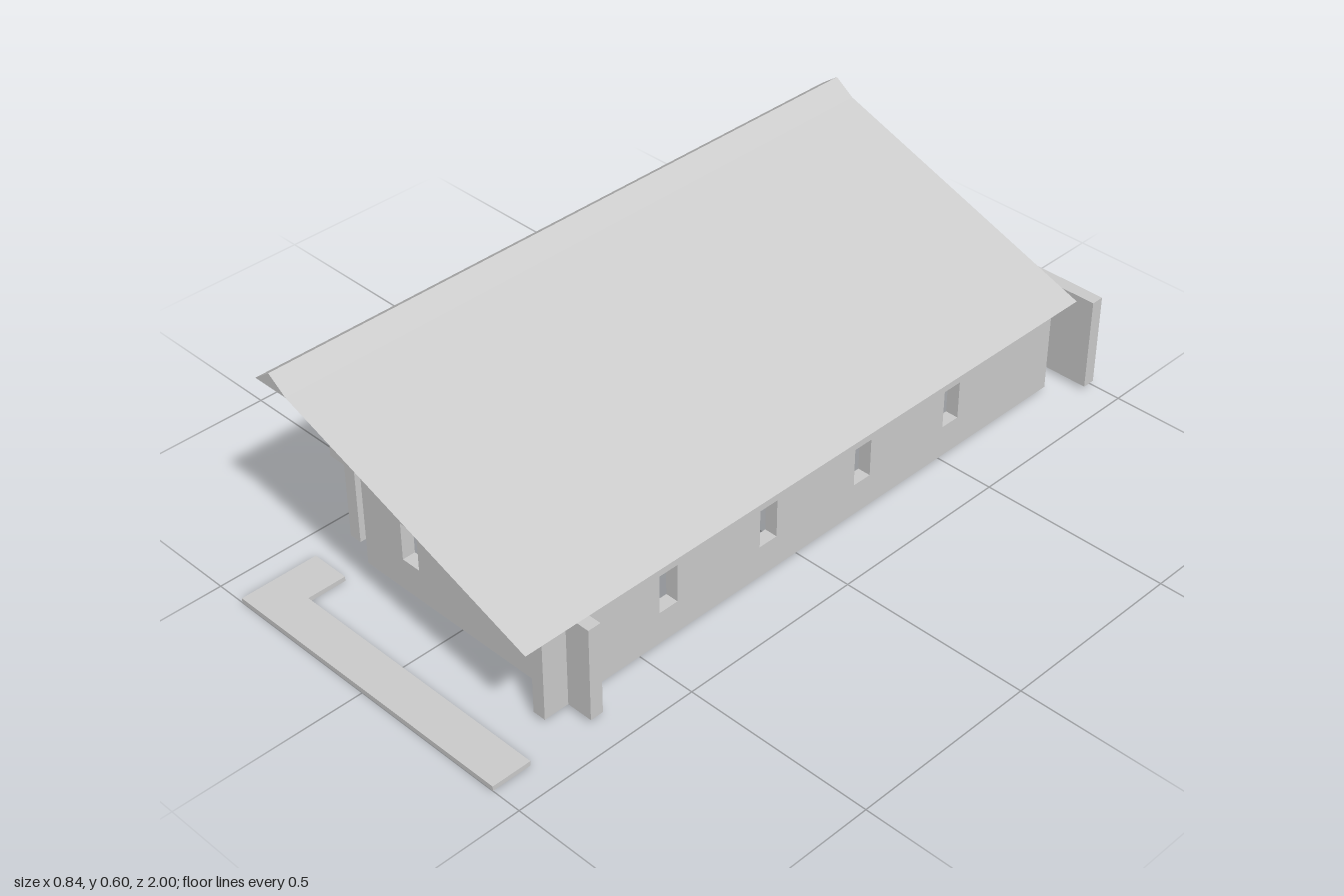
import * as THREE from 'three';

const U = 0.105;            // planning grid step
const BASE = 0.0125;        // floor slab thickness
const TOP = 0.2625;         // wall height

export function createModel() {
  const root = new THREE.Group();
  const mat = new THREE.MeshStandardMaterial({ color: 0xcccccc, flatShading: true });
  const sheetMat = new THREE.MeshStandardMaterial({ color: 0xcccccc, flatShading: true, side: THREE.DoubleSide });

  const add = (name, geometry, material = mat) => {
    const mesh = new THREE.Mesh(geometry, material);
    mesh.name = name;
    root.add(mesh);
    return mesh;
  };
  const box = (name, x0, x1, y0, y1, z0, z1) =>
    add(name, new THREE.BoxGeometry(x1 - x0, y1 - y0, z1 - z0))
      .position.set((x0 + x1) / 2, (y0 + y1) / 2, (z0 + z1) / 2);

  // Wall outline in (u, y) with window holes, extruded by its thickness
  const wallGeometry = (points, windows, thickness) => {
    const shape = new THREE.Shape(points.map(p => new THREE.Vector2(...p)));
    for (const u of windows) {
      const w = 0.0275, lo = 0.099, hi = 0.202;
      shape.holes.push(new THREE.Path([[u - w, lo], [u - w, hi], [u + w, hi], [u + w, lo]]
        .map(p => new THREE.Vector2(...p))));
    }
    return new THREE.ExtrudeGeometry(shape, { depth: thickness, bevelEnabled: false });
  };
  const rect = (a, b) => [[a, BASE], [b, BASE], [b, TOP], [a, TOP]];
  const endWindows = [-1.5 * U, 1.5 * U];

  // Back wall
  add('backWall', wallGeometry(rect(-0.42, 0.42), endWindows, 0.035)).position.z = -1;

  // Front wall: stepped top falling towards +x, doorway under the tallest step
  const outline = [[-0.315, BASE], [0.42, BASE], [0.42, TOP]];
  for (let i = 0; i < 7; i++) {
    const x = 0.315 - i * U;
    outline.push([x, TOP + i * 0.038], [x, TOP + (i + 1) * 0.038]);
  }
  outline.push([-0.42, TOP + 7 * 0.038], [-0.42, TOP], [-0.315, TOP]);
  add('steppedFrontWall', wallGeometry(outline, endWindows, 0.035)).position.z = 0.687;

  // Long wall with four windows; shape u runs along -z
  const sideWall = add('windowedSideWall', wallGeometry(rect(-0.79, 0.895), [-4, -1, 2, 5].map(k => k * U), 0.035));
  sideWall.rotation.y = Math.PI / 2;
  sideWall.position.x = 0.315;

  // Plain long wall
  box('plainSideWall', -0.42, -0.385, BASE, TOP, -0.895, 0.687);

  // Floor slabs and raised table top
  const step = new THREE.Shape([[-0.42, -1], [0.42, -1], [0.42, -0.895], [-0.315, -0.895],
    [-0.315, -0.79], [-0.42, -0.79]].map(p => new THREE.Vector2(...p)));
  add('frontStep', new THREE.ExtrudeGeometry(step, { depth: BASE, bevelEnabled: false }))
    .rotation.x = -Math.PI / 2;
  box('frontFloorSlab', -0.42, U, 0, BASE, 0.265, 0.37);
  box('middleFloorSlab', -0.42, U, 0, BASE, -0.0525, 0.0525);
  box('backFloorSlab', -U, 0, 0, BASE, -0.79, -0.265);
  box('tableTop', -U, U, 0.07, 0.0825, -0.0525, 0.0525);

  // Thin roof sheet: short ridge cap, then the long slope
  const profile = [[-0.42, 0.567], [-0.37, 0.604], [-0.317, 0.567], [0.42, 0.302]];
  const L = 0.895;
  const roof = new THREE.PlaneGeometry(1, 1, profile.length - 1, 1);
  const pos = roof.attributes.position;
  for (let i = 0; i < pos.count; i++) {
    const [x, y] = profile[i % profile.length];
    pos.setXYZ(i, x, y, i < profile.length ? -L : L);
  }
  roof.computeVertexNormals();
  add('roof', roof, sheetMat);

  // Triangular ribs under the ridge
  const rib = new THREE.ShapeGeometry(new THREE.Shape(
    [profile[0], profile[2], profile[1]].map(p => new THREE.Vector2(...p))));
  for (let i = 0; i <= 17; i++) {
    add('ridgeRib', rib, sheetMat).position.z = -L + (i * 2 * L) / 17;
  }

  return root;
}
